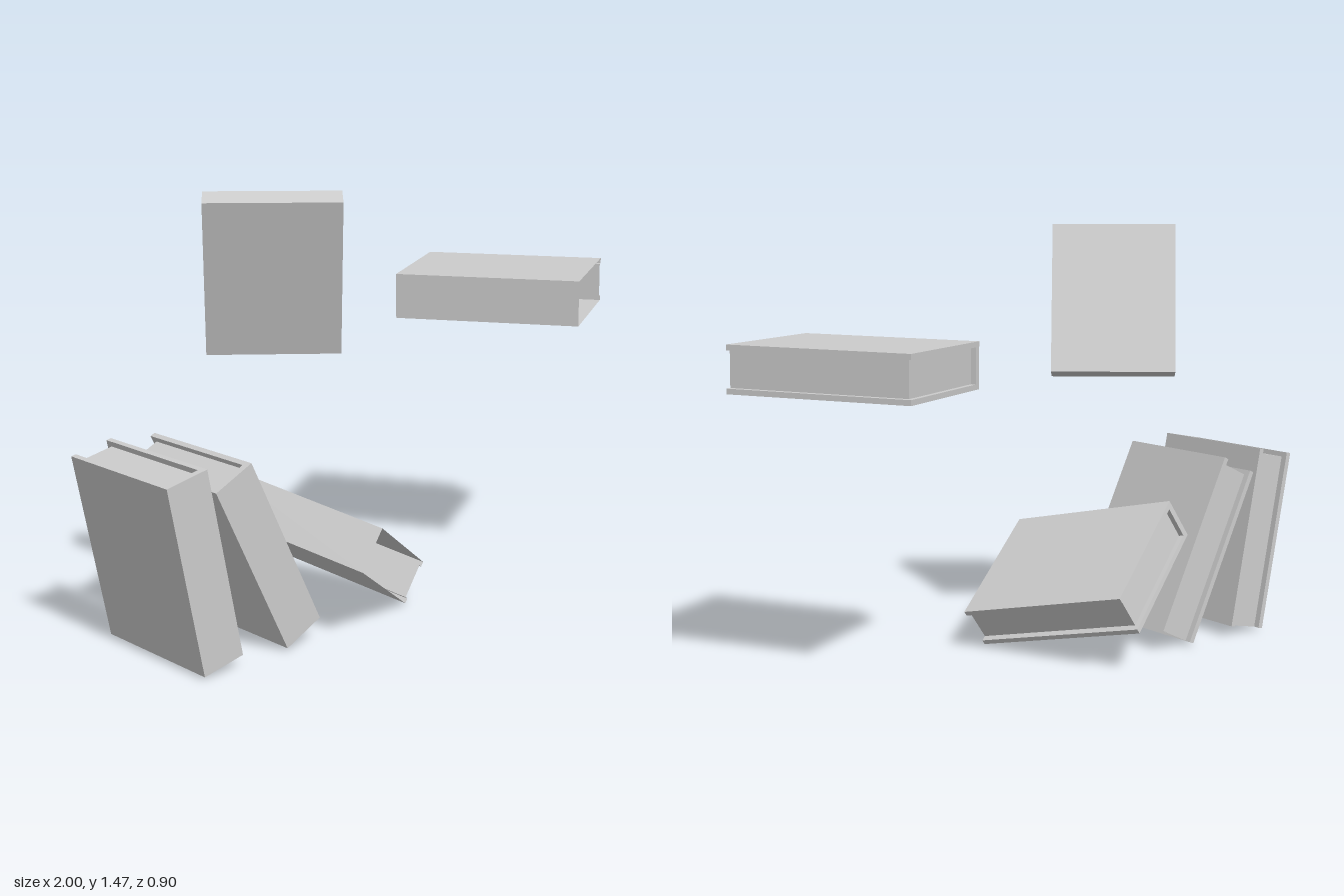
import * as THREE from 'three';

const material = new THREE.MeshStandardMaterial({ color: 0xcccccc, side: THREE.DoubleSide, flatShading: true });

// Book size: thickness, height, depth; cover board, spine board, page recess
const T = 0.157, H = 0.647, D = 0.495, BOARD = 0.018, SPINE = 0.024, RECESS = 0.022;

// Upright flat walls following a list of [x, z] points
function wall(points, y0, y1) {
  const pos = [];
  for (let i = 0; i < points.length - 1; i++) {
    const [ax, az] = points[i], [bx, bz] = points[i + 1];
    pos.push(ax, y0, az, bx, y0, bz, bx, y1, bz, ax, y0, az, bx, y1, bz, ax, y1, az);
  }
  const g = new THREE.BufferGeometry();
  g.setAttribute('position', new THREE.Float32BufferAttribute(pos, 3));
  g.computeVertexNormals();
  return g;
}

// Level face filling a list of [x, z] points
function level(points, y) {
  const shape = new THREE.Shape(points.map(([x, z]) => new THREE.Vector2(x, z)));
  return new THREE.ShapeGeometry(shape).rotateX(Math.PI / 2).translate(0, y, 0);
}

function part(name, geometry) {
  const mesh = new THREE.Mesh(geometry, material);
  mesh.name = name;
  return mesh;
}

// Hollow hardback: spine at +z, recessed pages at the fore edge (-z) and top, open underneath
function makeBook(name) {
  const t = T / 2, h = H / 2, d = D / 2;
  const a = t - BOARD, fore = -d + RECESS, back = d - SPINE, pageTop = h - RECESS * 0.8;
  const cover = [[-a, fore], [-a, -d], [-t, -d], [-t, d], [t, d], [t, -d], [a, -d], [a, fore]];
  const inner = [[a, fore], [a, back], [-a, back], [-a, fore]];
  const book = new THREE.Group();
  book.name = name;
  book.add(
    part('cover', wall(cover, -h, h)),
    part('coverTopEdge', level([...cover, [a, back], [-a, back]], h)),
    part('coverInnerLip', wall(inner, pageTop, h)),
    part('pagesForeEdge', wall([[-a, fore], [a, fore]], -h, pageTop)),
    part('pagesTop', level(inner, pageTop)),
  );
  return book;
}

// Place a part at a centre, with its up and back (+z) directions given
function place(object, centre, up, back) {
  const y = new THREE.Vector3(...up).normalize();
  const x = new THREE.Vector3().crossVectors(y, new THREE.Vector3(...back)).normalize();
  const z = new THREE.Vector3().crossVectors(x, y);
  object.quaternion.setFromRotationMatrix(new THREE.Matrix4().makeBasis(x, y, z));
  object.position.set(...centre);
  return object;
}

export function createModel() {
  const model = new THREE.Group();
  model.name = 'books';
  model.add(
    // Three books toppling in a row
    place(makeBook('leaningBook'), [-0.86, 0.347, -0.067], [-0.125, 0.632, 0], [0, 0, 1]),
    place(makeBook('tiltedBook'), [-0.603, 0.339, -0.067], [-0.28, 0.583, 0], [0, 0, 1]),
    place(makeBook('fallingBook'), [-0.205, 0.266, -0.063], [-0.2, 0.135, -0.6], [-0.38, 0.255, 0.19]),
    // Book floating flat
    place(makeBook('floatingBook'), [0.622, 1.035, 0.045], [-0.5, -0.008, -0.866], [-0.866, -0.006, 0.5]),
    // Plain slab floating upright
    place(part('floatingSlab', new THREE.BoxGeometry(0.435, 0.533, 0.089)),
      [-0.44, 1.208, 0.025], [-0.188, 0.957, 0.225], [-0.62, -0.28, 0.73]),
  );
  return model;
}
